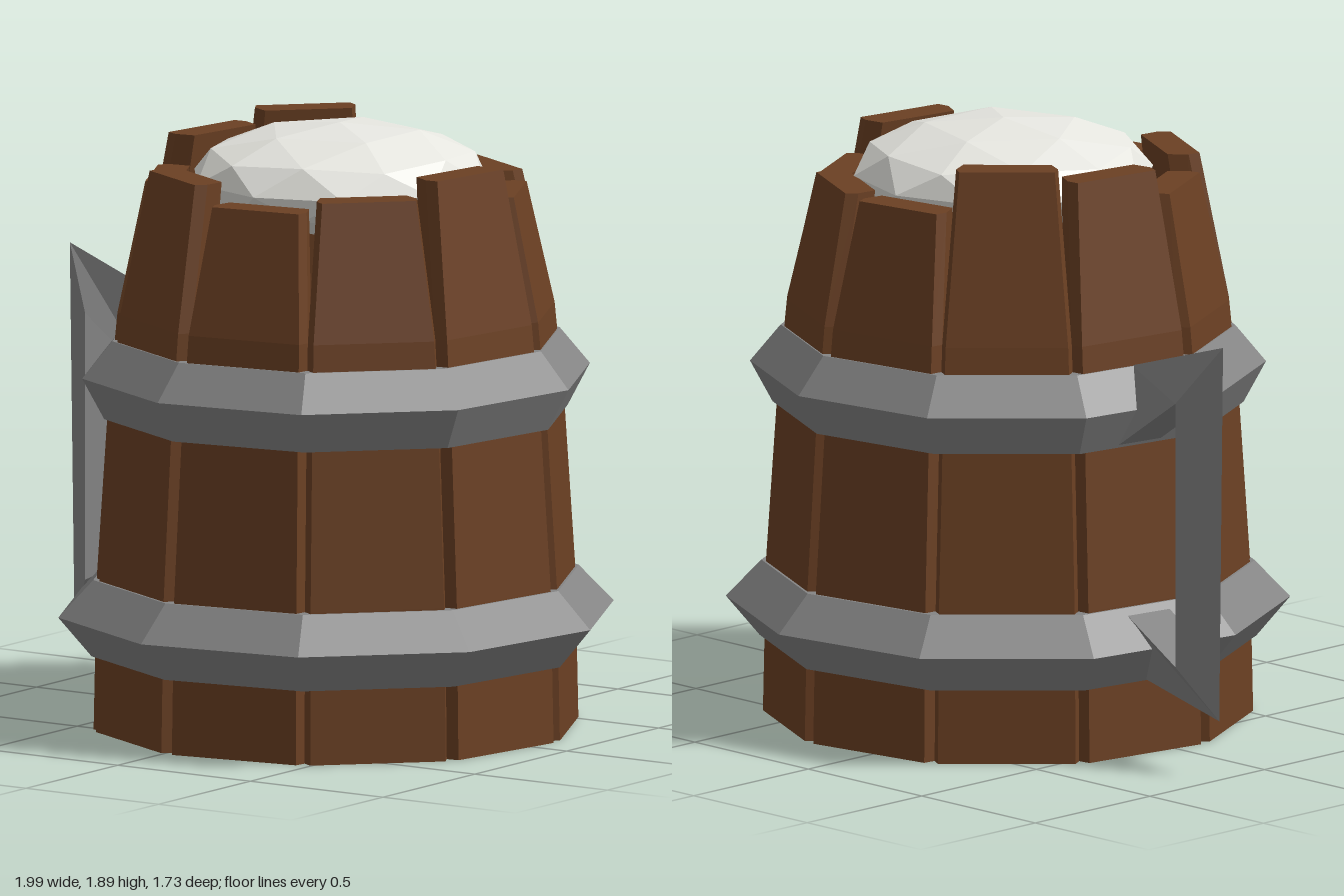
import * as THREE from 'three';

const RAD = Math.PI / 180;
const SIDES = 10;
const STEP = 360 / SIDES;
const START = 9; // direction of the first stave, in degrees from +x

const wood = new THREE.MeshStandardMaterial({ color: 0x6b4023, flatShading: true });
const iron = new THREE.MeshStandardMaterial({ color: 0x858585, flatShading: true });
const froth = new THREE.MeshStandardMaterial({ color: 0xe6e6e0, flatShading: true });

// Closed solid through a list of equal-length rings, each counter-clockwise seen from ahead.
function loft(rings) {
  const n = rings[0].length;
  const index = [];
  for (let r = 0; r < rings.length - 1; r++) {
    for (let i = 0; i < n; i++) {
      const j = (i + 1) % n;
      const a = r * n + i, b = r * n + j;
      index.push(a, b, b + n, a, b + n, a + n);
    }
  }
  const last = (rings.length - 1) * n;
  for (let i = 1; i < n - 1; i++) {
    index.push(0, i + 1, i);
    index.push(last, last + i, last + i + 1);
  }
  const geometry = new THREE.BufferGeometry();
  geometry.setAttribute('position', new THREE.Float32BufferAttribute(rings.flat(2), 3));
  geometry.setIndex(index);
  geometry.computeVertexNormals();
  return geometry;
}

function add(parent, name, geometry, material) {
  const mesh = new THREE.Mesh(geometry, material);
  mesh.name = name;
  parent.add(mesh);
  return mesh;
}

// One plank with bevelled sides, bending inwards towards its top.
function staveGeometry(height) {
  // y, outer radius, thickness, half angles of the outer, middle and inner corners
  const levels = [
    [0, 0.76, 0.13, 16.3, 18, 18],
    [0.48, 0.75, 0.13, 16.3, 18, 18],
    [0.98, 0.717, 0.13, 16.2, 18, 18],
    [1.31, 0.685, 0.12, 16.1, 18, 18],
    [height, 0.595, 0.1, 14.4, 16.4, 16],
  ];
  return loft(levels.map(([y, r, thick, outer, middle, inner]) => {
    const at = (radius, deg) => [radius * Math.cos(deg * RAD), y, radius * Math.sin(deg * RAD)];
    const mid = r - 0.035, back = r - thick;
    return [at(r, outer), at(r, -outer), at(mid, -middle),
      at(back, -inner), at(back, inner), at(mid, middle)];
  }));
}

// Ridged iron band with a pointed outer edge.
function hoopGeometry(profile) {
  const points = profile.map(([r, y]) => new THREE.Vector2(r, y));
  return new THREE.LatheGeometry(points, SIDES, -START * RAD, Math.PI * 2);
}

export function createModel() {
  const model = new THREE.Group();
  model.name = 'mug';
  const body = new THREE.Group();
  body.name = 'body';
  body.position.x = 0.13;
  model.add(body);

  // Staves of uneven height
  const heights = [1.795, 1.74, 1.705, 1.765, 1.72, 1.81, 1.85, 1.71, 1.72, 1.695];
  heights.forEach((height, i) => {
    const stave = add(body, 'stave' + (i + 1), staveGeometry(height), wood);
    stave.rotation.y = -(START + STEP * i) * RAD;
  });

  // Bottom board
  const bottom = add(body, 'bottom', new THREE.CylinderGeometry(0.7, 0.7, 0.06, SIDES, 1, false, -START * RAD), wood);
  bottom.position.y = 0.03;

  // Hoops
  add(body, 'lowerHoop', hoopGeometry([[0.7, 0.235], [0.77, 0.235], [0.875, 0.36], [0.765, 0.475], [0.7, 0.475]]), iron);
  add(body, 'upperHoop', hoopGeometry([[0.66, 0.98], [0.73, 0.98], [0.8, 1.11], [0.705, 1.225], [0.65, 1.225]]), iron);

  // Foam dome with a vertex at its top
  const dome = new THREE.IcosahedronGeometry(1, 1);
  dome.rotateZ(Math.atan2(1, (1 + Math.sqrt(5)) / 2));
  dome.scale(0.47, 0.17, 0.47);
  const foam = add(body, 'foam', dome, froth);
  foam.position.set(0, 1.72, -0.02);

  // Handle of triangular section: radius and height of the outer ridge and inner face, half width
  const stations = [
    [0.66, 1.225, 0.7, 0.99, 0.08],
    [1.142, 1.375, 1.0, 1.18, 0.08],
    [1.122, 0.18, 1.0, 0.34, 0.08],
    [0.72, 0.24, 0.7, 0.475, 0.08],
  ];
  const handle = add(body, 'handle', loft(stations.map(([ro, yo, ri, yi, w]) =>
    [[ro, yo, 0], [ri, yi, w], [ri, yi, -w]])), iron);
  handle.rotation.y = -(START + 180) * RAD;

  return model;
}
